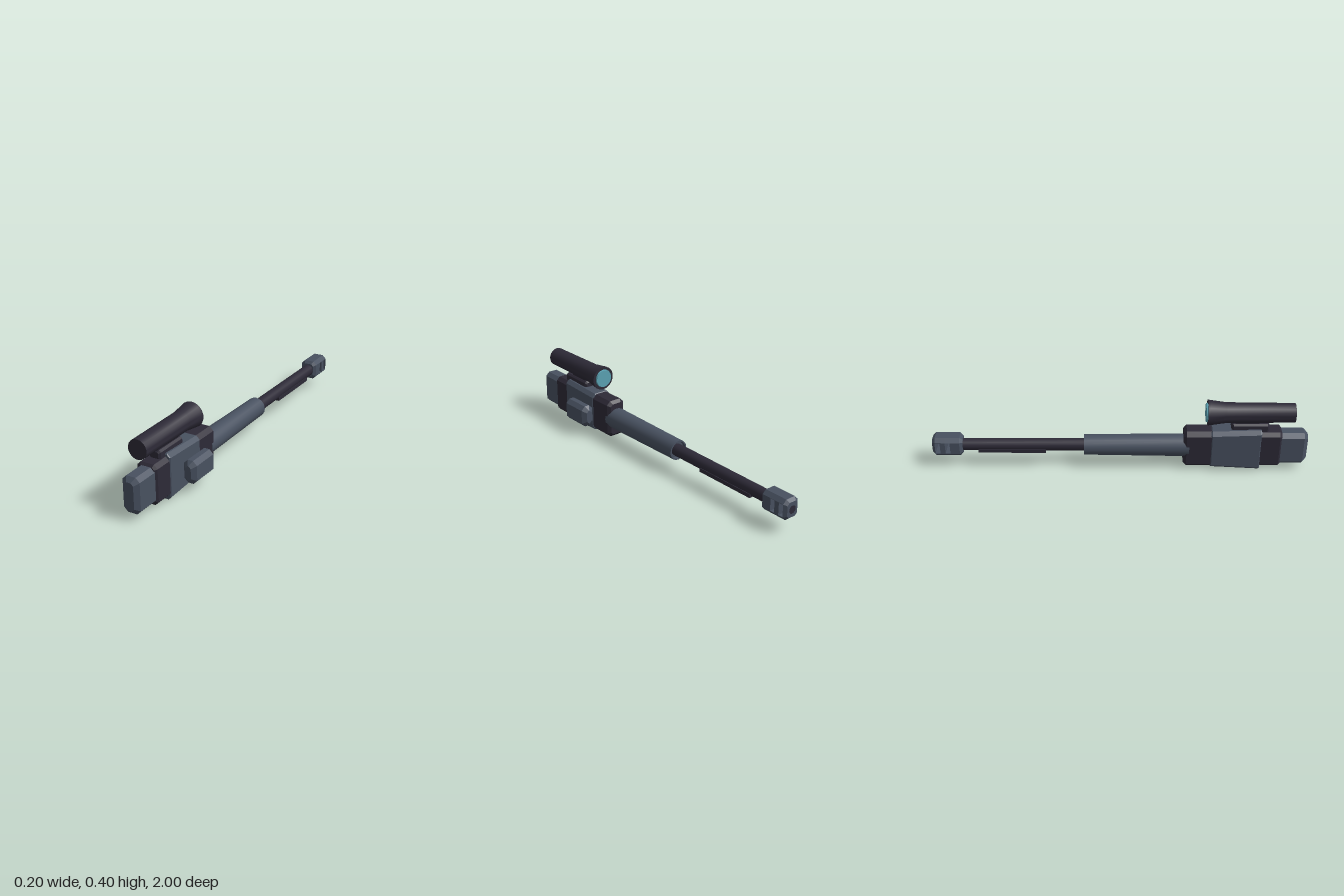
import * as THREE from 'three';
import { toCreasedNormals } from 'three/addons/utils/BufferGeometryUtils.js';
import { ConvexGeometry } from 'three/addons/geometries/ConvexGeometry.js';

const AXIS_X = -0.036; // shared centre line of body, barrel and scope
const BORE_Y = 0.128;

export function createModel() {
  const group = new THREE.Group();
  const darkMetal = new THREE.MeshStandardMaterial({ name: 'darkMetal', color: 0x2d2a37 });
  const greyMetal = new THREE.MeshStandardMaterial({ name: 'greyMetal', color: 0x485160 });
  const lensBlue = new THREE.MeshStandardMaterial({ name: 'lensBlue', color: 0x5ba3b4 });

  const add = (name, geometry, material, x = 0, y = 0, z = 0) => {
    const mesh = new THREE.Mesh(geometry, material);
    mesh.name = name;
    mesh.position.set(x, y, z);
    group.add(mesh);
    return mesh;
  };

  // Solid through cross-sections: z, half width, y range, bottom and top corner cuts
  const hull = (sections) => {
    const points = [];
    for (const [z, w, y0, y1, cb, ct] of sections) {
      for (const s of [-1, 1]) {
        for (const [y, dir, c] of [[y0, 1, cb], [y1, -1, ct]]) {
          points.push(new THREE.Vector3(s * w, y + dir * c, z));
          if (c > 0) points.push(new THREE.Vector3(s * (w - c), y, z));
        }
      }
    }
    return new ConvexGeometry(points);
  };

  // Block with every edge cut by c; the bottom and top may slope from z0 to z1
  const block = (w, z0, z1, y0, y1, c, e = c, slopeB = 0, slopeT = 0) => hull([
    [z0, w - e, y0 + e + slopeB, y1 - e - slopeT, c * 0.6, c * 0.6],
    [z0 + e, w, y0 + slopeB, y1 - slopeT, c, c],
    [z1 - e, w, y0, y1, c, c],
    [z1, w - e, y0 + e, y1 - e, c * 0.6, c * 0.6],
  ]);

  // Turned part along z from [radius, z] pairs, z rising
  const turned = (profile, sides) => toCreasedNormals(
    new THREE.LatheGeometry(profile.map(([r, z]) => new THREE.Vector2(r, z)), sides).rotateX(Math.PI / 2), 0.6);

  // Body blocks, from the stock end forward
  add('stock', block(0.048, 0.83, 1.0, 0.033, 0.223, 0.022), greyMetal, AXIS_X);
  add('rearReceiver', block(0.057, 0.72, 0.86, 0.022, 0.235, 0.02, 0.012), darkMetal, AXIS_X);
  add('receiver', block(0.061, 0.485, 0.75, 0.003, 0.25, 0.02, 0.006, 0.014, 0.01), greyMetal, AXIS_X);
  add('frontReceiver', block(0.057, 0.34, 0.51, 0.02, 0.236, 0.022, 0.016), darkMetal, AXIS_X);

  // Side box with its short stub
  add('sideBox', block(0.037, 0.467, 0.66, 0.058, 0.182, 0.022), greyMetal, 0.065);
  const stub = new THREE.CylinderGeometry(0.02, 0.02, 0.03, 12).rotateZ(Math.PI / 2);
  add('sideBoxStub', stub, darkMetal, 0.025, 0.122, 0.565);

  // Barrel and its tapered sleeve
  add('barrelSleeve', turned([[0, -0.175], [0.045, -0.175], [0.047, -0.19], [0.055, -0.19], [0.061, 0.37], [0, 0.37]], 20),
    greyMetal, AXIS_X, BORE_Y);
  add('barrel', turned([[0, -0.87], [0.033, -0.87], [0.034, -0.15], [0, -0.15]], 16), darkMetal, AXIS_X, BORE_Y);
  add('barrelRail', new THREE.BoxGeometry(0.071, 0.021, 0.36), darkMetal, AXIS_X, 0.106, -0.575);

  // Muzzle brake: solid rings joined by top and bottom bars, leaving two open slots
  const brakeW = 0.048, yLow = 0.074, yHigh = 0.184, slotLow = 0.097, slotHigh = 0.162, cut = 0.02;
  const ring = (z, inset = 0) => [z, brakeW - inset, yLow + inset, yHigh - inset, cut - inset / 2, cut - inset / 2];
  add('muzzleBase', hull([ring(-0.904), ring(-0.853), ring(-0.838, 0.015)]), greyMetal, AXIS_X);
  add('muzzleRib', hull([ring(-0.957), ring(-0.93)]), greyMetal, AXIS_X);
  add('muzzleEnd', hull([ring(-1.0, 0.014), ring(-0.984)]), greyMetal, AXIS_X);
  for (const [z0, z1] of [[-0.93, -0.904], [-0.984, -0.957]]) {
    add('muzzleTopBar', hull([z0, z1].map((z) => [z, brakeW, slotHigh, yHigh, 0, cut])), greyMetal, AXIS_X);
    add('muzzleBottomBar', hull([z0, z1].map((z) => [z, brakeW, yLow, slotLow, cut, 0])), greyMetal, AXIS_X);
  }
  add('bore', new THREE.CircleGeometry(0.022, 16).rotateY(Math.PI), darkMetal, AXIS_X, BORE_Y, -1.0005);

  // Scope on its mount
  const scopeY = 0.334;
  add('scopeMountBase', block(0.032, 0.59, 0.79, 0.22, 0.277, 0.01), darkMetal, AXIS_X);
  add('scopeMountNeck', block(0.02, 0.61, 0.74, 0.26, 0.31, 0.006), darkMetal, AXIS_X);
  add('scopeTube', turned([[0, 0.462], [0.068, 0.462], [0.067, 0.475], [0.055, 0.56], [0.052, 0.92], [0, 0.92]], 18),
    darkMetal, AXIS_X, scopeY);
  add('scopeLens', turned([[0, 0.453], [0.05, 0.453], [0.052, 0.463], [0, 0.463]], 18), lensBlue, AXIS_X, scopeY);

  return group;
}
